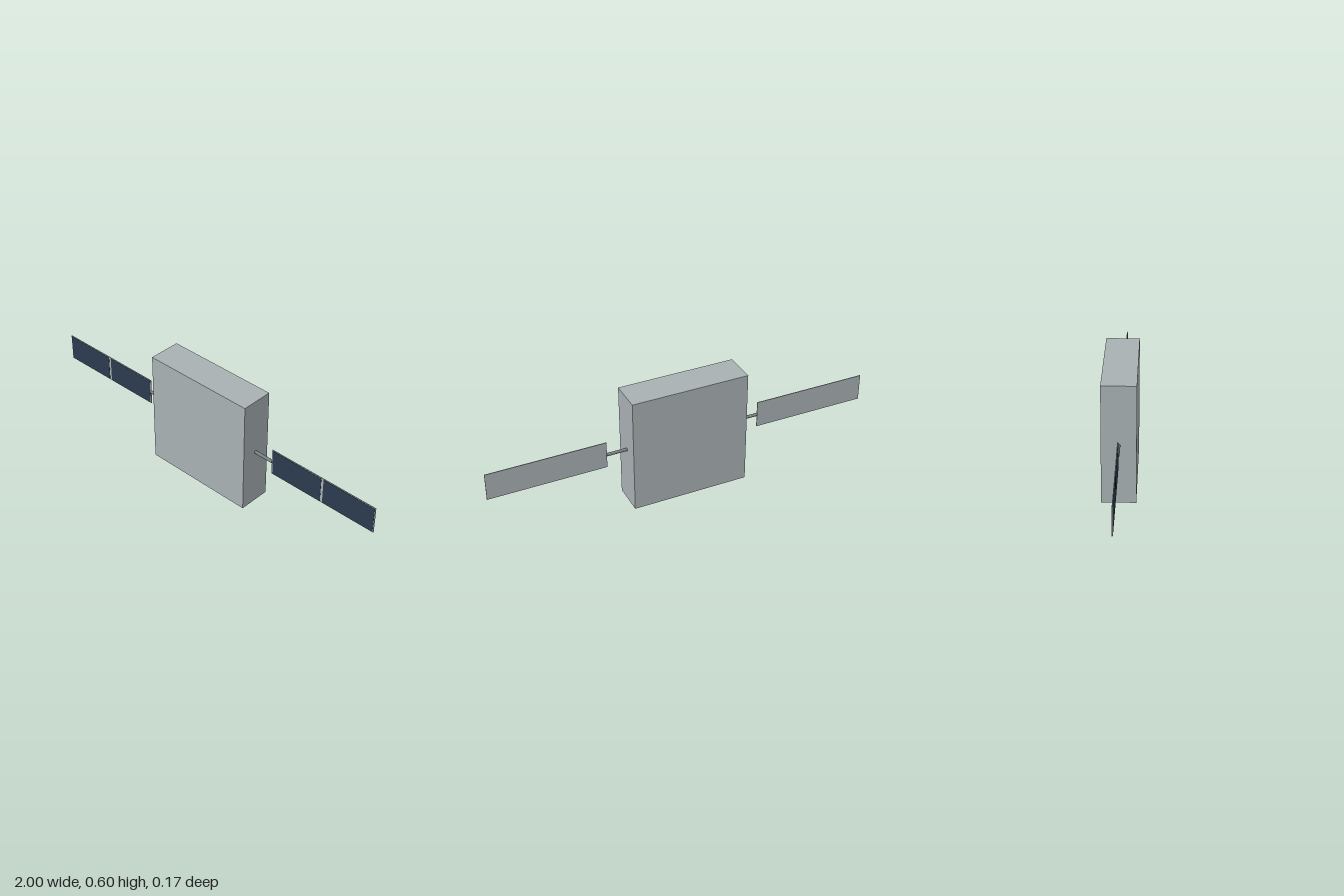
import * as THREE from 'three';

const material = (name, color) => {
  const m = new THREE.MeshStandardMaterial({ color });
  m.name = name;
  return m;
};

export function createModel() {
  const model = new THREE.Group();
  model.name = 'satellite';
  const hull = material('hull grey', 0xa9b1b4);
  const cell = material('solar cell navy', 0x2b3b4f);
  const metal = material('boom grey', 0x7c8082);

  const add = (parent, name, geometry, mat, x, y, z) => {
    const mesh = new THREE.Mesh(geometry, mat);
    mesh.name = name;
    mesh.position.set(x, y, z);
    parent.add(mesh);
    return mesh;
  };

  // Flat square body
  add(model, 'body', new THREE.BoxGeometry(0.6, 0.6, 0.167), hull, 0, 0.3, 0);

  // One boom and one two-cell solar wing on each side
  for (const side of [1, -1]) {
    const wing = new THREE.Group();
    wing.name = side > 0 ? 'leftWing' : 'rightWing';
    wing.position.y = 0.3;
    model.add(wing);

    const boom = add(wing, 'boom', new THREE.CylinderGeometry(0.008, 0.008, 0.11, 16), metal, side * 0.35, 0, 0);
    boom.rotation.z = Math.PI / 2;

    add(wing, 'panel', new THREE.BoxGeometry(0.597, 0.14, 0.004), hull, side * 0.7015, 0, 0);

    // Cells sit just proud of the panel's front, with a narrow gap between them
    for (const x of [0.5525, 0.8525]) {
      add(wing, 'solarCell', new THREE.BoxGeometry(0.287, 0.134, 0.001), cell, side * x, 0, 0.0025);
    }
  }
  return model;
}
